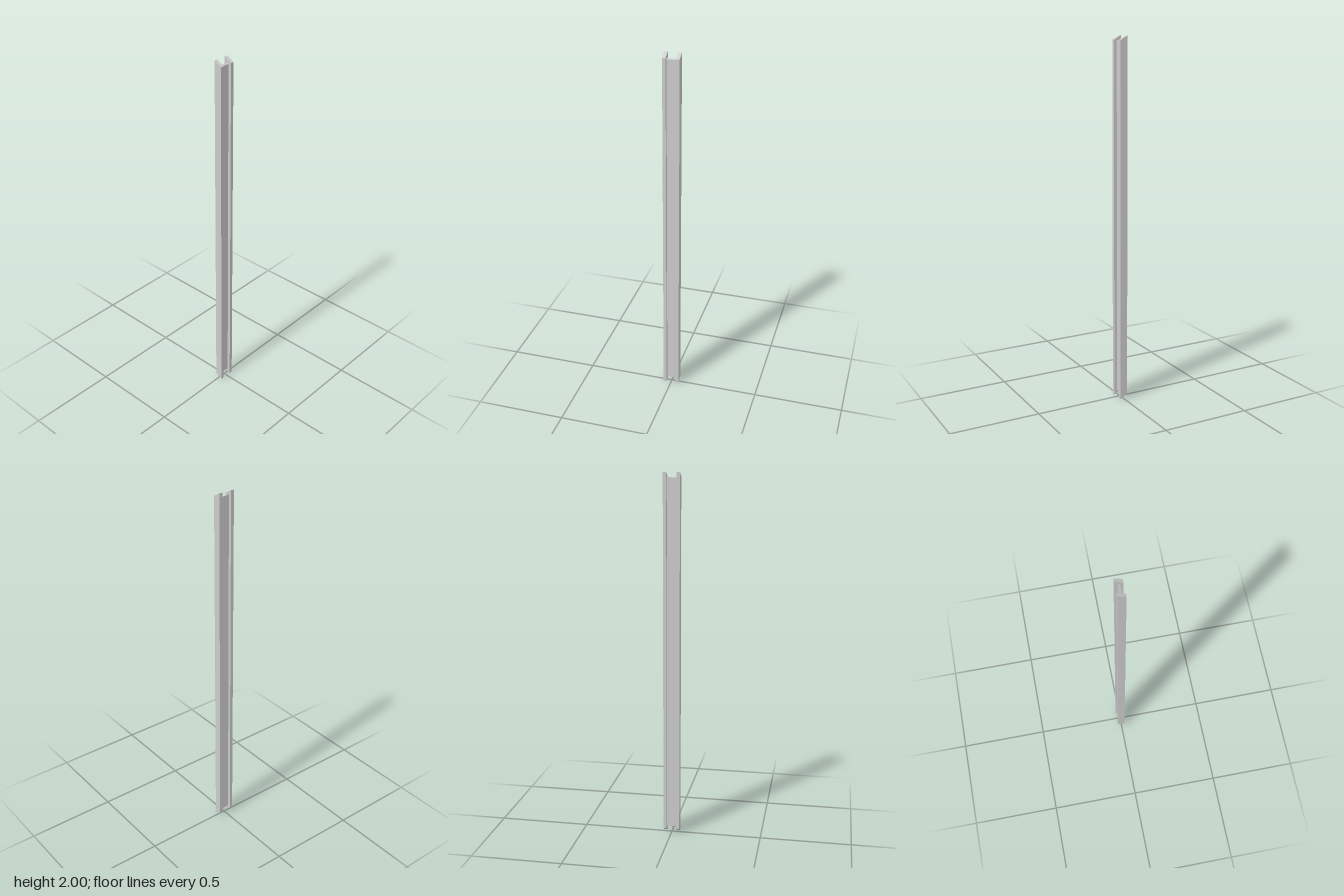
import * as THREE from 'three';

const SLOPE = Math.tan(Math.PI / 6); // ends are cut at 30 degrees, rising to the back

// Upright bar whose top and bottom slope up towards -z
function slantedBar(name, width, depth, bottom, top, x) {
  const geometry = new THREE.BoxGeometry(width, top - bottom, depth);
  const p = geometry.attributes.position;
  for (let i = 0; i < p.count; i++) p.setY(i, p.getY(i) - p.getZ(i) * SLOPE);
  geometry.translate(x, (top + bottom) / 2, 0);
  geometry.computeVertexNormals();
  const mesh = new THREE.Mesh(geometry, new THREE.MeshStandardMaterial({ color: 0xcccccc, flatShading: true }));
  mesh.name = name;
  return mesh;
}

export function createModel() {
  const group = new THREE.Group();
  group.name = 'beam';

  // Two side flanges, mirrored
  const depth = 0.042;
  const rise = (depth / 2) * SLOPE;
  for (const [name, side] of [['leftFlange', 1], ['rightFlange', -1]]) {
    group.add(slantedBar(name, 0.018, depth, rise, 2 - rise, side * 0.036));
  }

  // Thin web between them, set back at both ends
  group.add(slantedBar('web', 0.054, 0.009, 0.03, 1.97, 0));
  return group;
}
